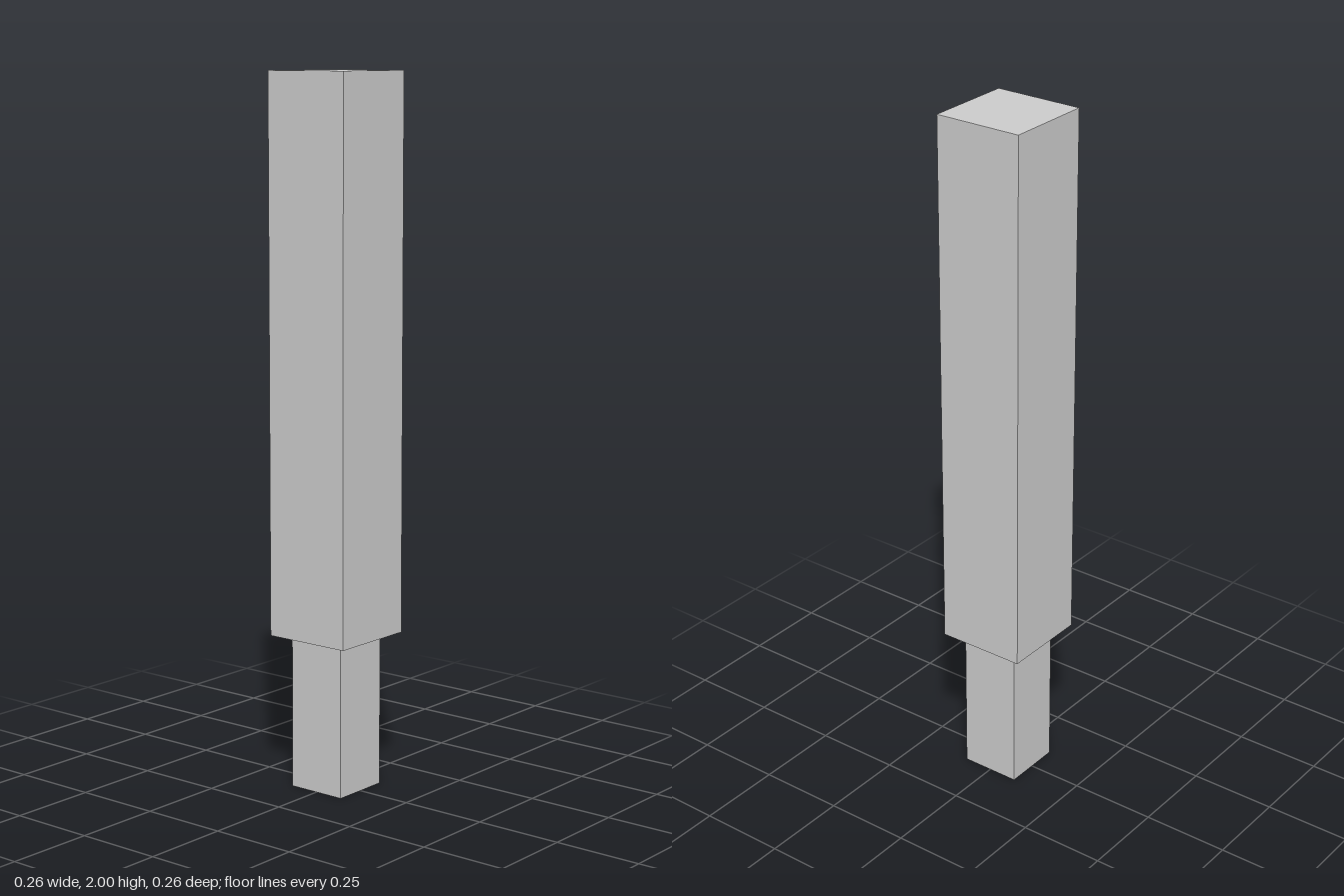
import * as THREE from 'three';

export function createModel() {
  const group = new THREE.Group();
  group.name = 'steppedPost';
  const material = new THREE.MeshStandardMaterial({ color: 0xcccccc, flatShading: true });

  // Square block standing between two heights
  function addBlock(name, width, bottom, top) {
    const mesh = new THREE.Mesh(new THREE.BoxGeometry(width, top - bottom, width), material);
    mesh.name = name;
    mesh.position.y = (bottom + top) / 2;
    group.add(mesh);
  }

  addBlock('lowerPeg', 0.175, 0, 0.44);
  addBlock('upperShaft', 0.26, 0.44, 2);

  return group;
}
